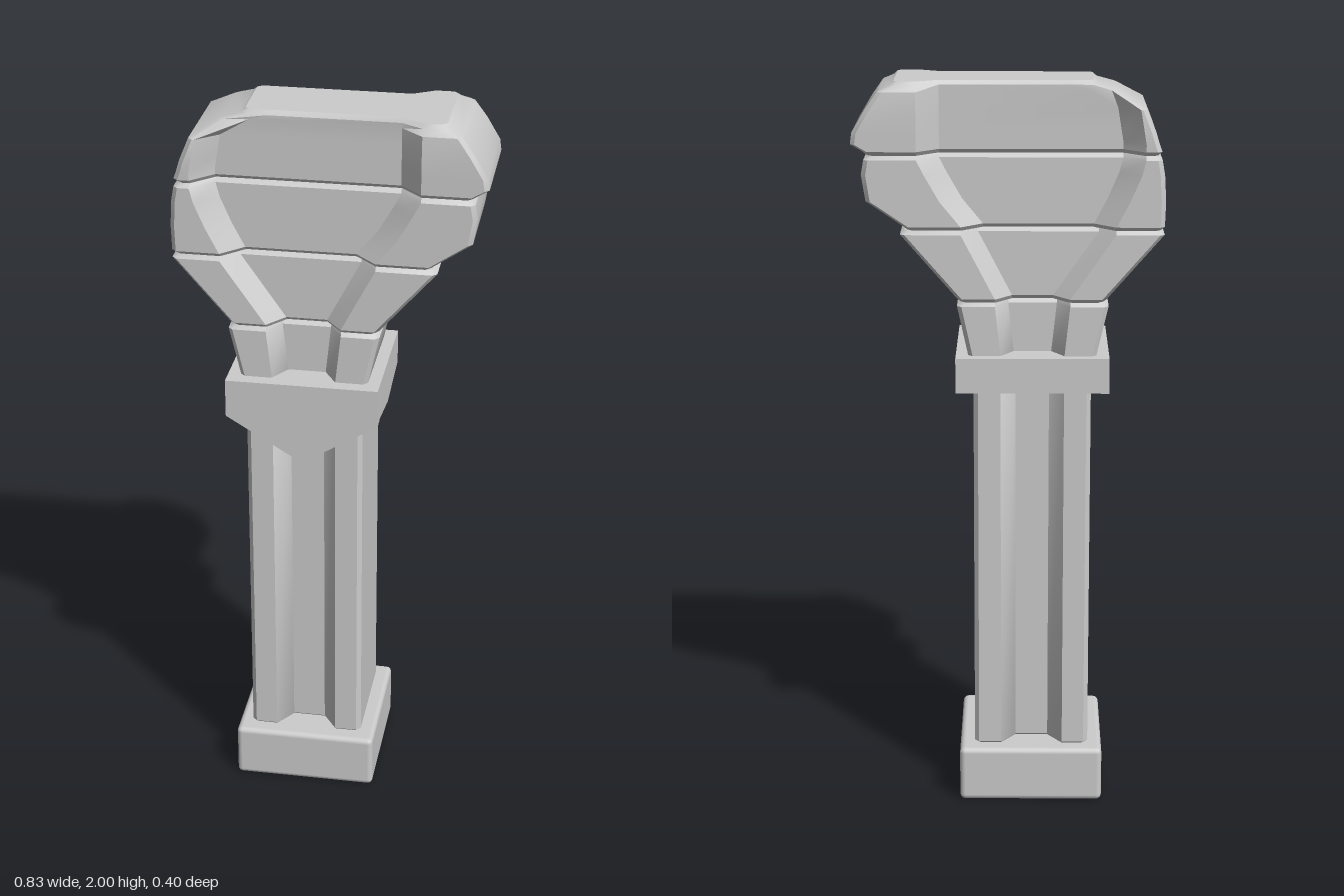
import * as THREE from 'three';
import { toCreasedNormals } from 'three/addons/utils/BufferGeometryUtils.js';
import { RoundedBoxGeometry } from 'three/addons/geometries/RoundedBoxGeometry.js';

const material = new THREE.MeshStandardMaterial({ color: 0xcccccc });
const WEB = 0.1; // half depth of the recessed middle

// I-shaped horizontal section: two deep flanges joined by a recessed web.
// Row: y, outer left, inner left, inner right, outer right, left depth, right depth
function section([y, xl, il, ir, xr, dl = 0.157, dr = 0.157], slope, inset, cut = 0.012) {
  xl += inset; xr -= inset; dl -= inset; dr -= inset;
  const web = WEB - inset;
  il = Math.max(il, xl + cut);
  ir = Math.min(ir, xr - cut);
  const front = [
    [xl, dl - cut], [xl + cut, dl], [il, dl], [il + slope, web],
    [ir - slope, web], [ir, dr], [xr - cut, dr], [xr, dr - cut],
  ];
  const back = front.map(([x, z]) => [x, -z]).reverse();
  return [...front, ...back].map(([x, z]) => [x, y, z]);
}

// Stacks the sections, with a small bevel at both ends, and caps them
function layer(name, rows, slope) {
  const b = 0.011;
  const first = rows[0], last = rows[rows.length - 1];
  const shift = (row, dy) => [row[0] + dy, ...row.slice(1)];
  const rings = [
    section(first, slope, b),
    section(shift(first, b), slope, 0),
    ...rows.slice(1, -1).map((r) => section(r, slope, 0)),
    section(shift(last, -b), slope, 0),
    section(last, slope, b),
  ];
  const n = 16, index = [];
  for (let r = 0; r < rings.length - 1; r++) {
    for (let i = 0; i < n; i++) {
      const a = r * n + i, c = r * n + ((i + 1) % n);
      index.push(a, c, c + n, a, c + n, a + n);
    }
  }
  const top = (rings.length - 1) * n;
  for (let i = 0; i < 7; i++) {
    const j = 15 - i;
    index.push(top + i, top + i + 1, top + j - 1, top + i, top + j - 1, top + j);
    index.push(i, j - 1, i + 1, i, j, j - 1);
  }
  const geometry = new THREE.BufferGeometry();
  geometry.setAttribute('position', new THREE.Float32BufferAttribute(rings.flat(2), 3));
  geometry.setIndex(index);
  return part(name, toCreasedNormals(geometry, 0.6));
}

function part(name, geometry) {
  const mesh = new THREE.Mesh(geometry, material);
  mesh.name = name;
  return mesh;
}

function extrude(points, depth) {
  const shape = new THREE.Shape(points.map(([x, y]) => new THREE.Vector2(x, y)));
  return new THREE.ExtrudeGeometry(shape, { depth, bevelEnabled: false });
}

export function createModel() {
  const group = new THREE.Group();
  group.name = 'pillar';

  // Foot
  const base = part('base', new RoundedBoxGeometry(0.395, 0.155, 0.396, 2, 0.015));
  base.position.set(-0.0635, 0.0775, 0);
  group.add(base);

  // Grooved column
  group.add(layer('shaft', [
    [0.15, -0.222, -0.15, 0.02, 0.093],
    [1.25, -0.222, -0.15, 0.02, 0.093],
  ], 0.04));

  // Collar, its underside sagging towards the middle of each side
  const collar = part('collar', extrude([
    [-0.19, 1.275], [-0.19, 1.18], [0, 1.15], [0.187, 1.18], [0.187, 1.275],
  ], 0.41));
  collar.rotation.y = Math.PI / 2;
  collar.position.x = -0.27;
  group.add(collar);

  // Pointed flap on the front of the collar
  const flap = part('collarFlap', extrude([
    [-0.27, 1.275], [-0.27, 1.17], [-0.065, 1.045], [0.14, 1.17], [0.14, 1.275],
  ], 0.037));
  flap.position.z = 0.157;
  group.add(flap);

  // Neck and flaring head
  group.add(layer('neck', [
    [1.26, -0.235, -0.15, 0.02, 0.106],
    [1.42, -0.267, -0.165, 0.035, 0.136],
  ], 0.035));

  group.add(layer('lowerHead', [
    [1.418, -0.262, -0.165, 0.035, 0.135],
    [1.613, -0.412, -0.285, 0.125, 0.285],
  ], 0.045));

  group.add(layer('middleHead', [
    [1.612, -0.412, -0.285, 0.125, 0.275],
    [1.69, -0.414, -0.32, 0.18, 0.374],
    [1.76, -0.41, -0.35, 0.22, 0.385],
    [1.81, -0.403, -0.36, 0.24, 0.378],
  ], 0.058));

  group.add(layer('upperHead', [
    [1.81, -0.402, -0.36, 0.24, 0.38],
    [1.84, -0.395, -0.36, 0.24, 0.412],
    [1.87, -0.386, -0.355, 0.24, 0.408],
    [1.93, -0.362, -0.345, 0.24, 0.372, 0.15],
    [1.975, -0.285, -0.27, 0.24, 0.34, 0.105, 0.152],
    [2.0, -0.235, -0.22, 0.24, 0.31, 0.1, 0.135],
  ], 0.058));

  return group;
}
